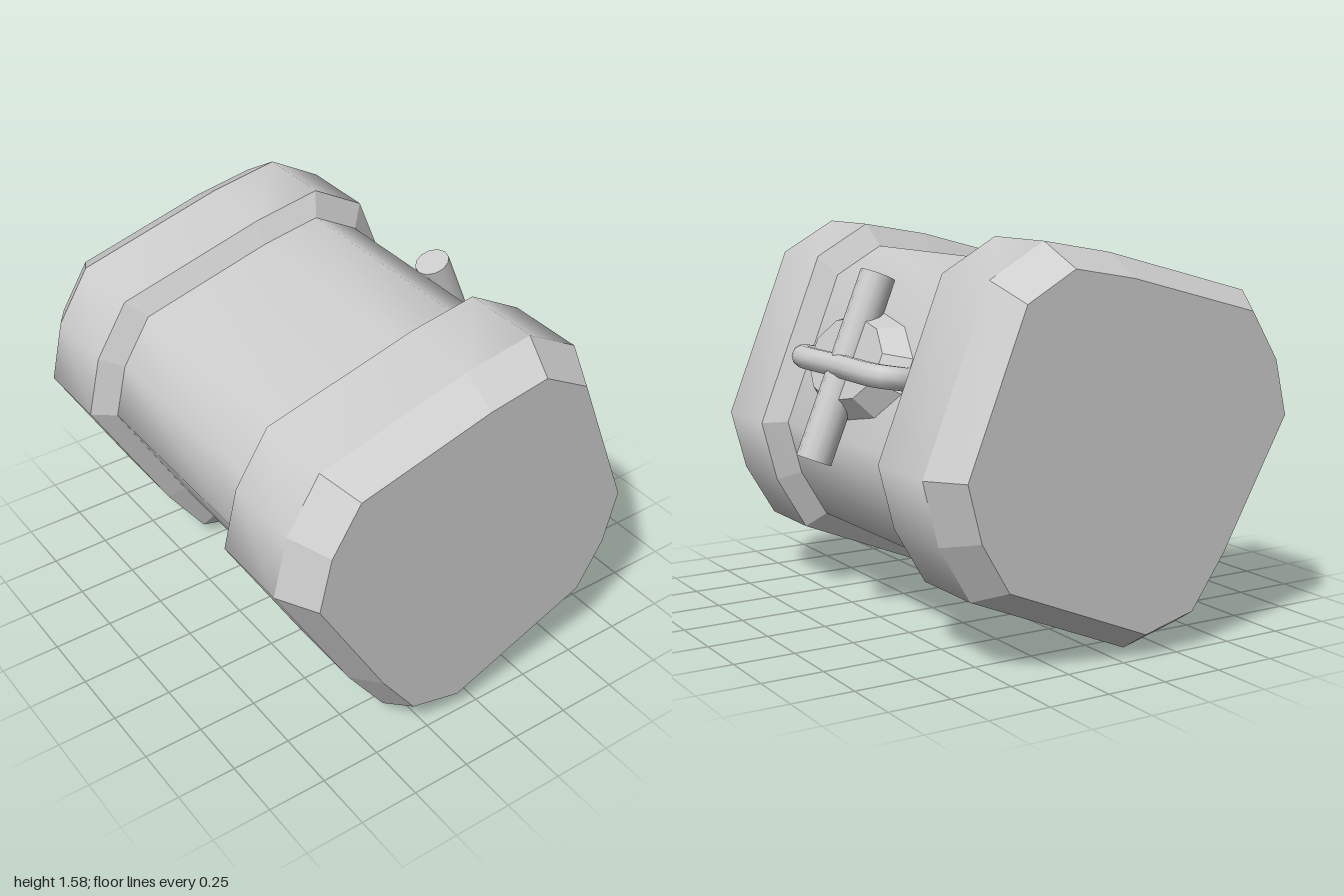
import * as THREE from 'three';

// Cross-section of the barrel as [z, y], counter-clockwise seen from +x
const PROFILE = [
  [0.86, 0.89], [0.53, 0.31], [0.36, 0.07], [0.11, 0.005], [-0.58, 0.29], [-0.71, 0.51],
  [-0.775, 0.76], [-0.5, 1.45], [-0.27, 1.58], [0.02, 1.53], [0.66, 1.36], [0.8, 1.14],
];
const CENTRE = [0.045, 0.795];
const INSET = 0.883;

const material = new THREE.MeshStandardMaterial({ color: 0xcccccc });
const flatMaterial = new THREE.MeshStandardMaterial({ color: 0xcccccc, flatShading: true });

function ring(x, scale) {
  return PROFILE.map(([z, y]) => [
    x, CENTRE[1] + (y - CENTRE[1]) * scale, CENTRE[0] + (z - CENTRE[0]) * scale,
  ]);
}

function addMesh(parent, name, geometry, mat = material) {
  const mesh = new THREE.Mesh(geometry, mat);
  mesh.name = name;
  parent.add(mesh);
  return mesh;
}

// Band of quads between two scaled sections, x0 < x1
function band(x0, s0, x1, s1) {
  const n = PROFILE.length;
  const points = [...ring(x0, s0), ...ring(x1, s1)];
  const index = [];
  for (let i = 0; i < n; i++) {
    const j = (i + 1) % n;
    index.push(i, j, n + j, i, n + j, n + i);
  }
  return finish(points, index);
}

// Flat end disc facing +x or -x
function endDisc(x, scale) {
  const points = [...ring(x, scale), [x, CENTRE[1], CENTRE[0]]];
  const n = PROFILE.length;
  const index = [];
  for (let i = 0; i < n; i++) {
    const j = (i + 1) % n;
    if (x > 0) index.push(n, i, j);
    else index.push(n, j, i);
  }
  return finish(points, index);
}

function finish(points, index) {
  const g = new THREE.BufferGeometry();
  g.setAttribute('position', new THREE.Float32BufferAttribute(points.flat(), 3));
  g.setIndex(index);
  g.computeVertexNormals();
  return g;
}

// Thick collar at one end: inner slope, rim, outer chamfer and end face
function collar(side) {
  const group = new THREE.Group();
  group.name = side > 0 ? 'leftCollar' : 'rightCollar';
  const span = (xa, sa, xb, sb) =>
    side > 0 ? band(xa, sa, xb, sb) : band(-xb, sb, -xa, sa);
  addMesh(group, 'innerSlope', span(0.465, INSET, 0.52, 1), flatMaterial);
  addMesh(group, 'rim', span(0.52, 1, 0.85, 1));
  addMesh(group, 'outerChamfer', span(0.85, 1, 1, INSET), flatMaterial);
  addMesh(group, 'endFace', endDisc(side, INSET), flatMaterial);
  return group;
}

// Cross handle on a faceted boss; local z points out of the back face
function crossHandle() {
  const group = new THREE.Group();
  group.name = 'crossHandle';

  const boss = new THREE.CylinderGeometry(0.7, 1, 0.12, 10);
  boss.rotateX(Math.PI / 2);
  boss.scale(0.42, 0.25, 1);
  boss.translate(0, -0.01, 0.03);
  addMesh(group, 'boss', boss, flatMaterial);

  const upright = new THREE.CylinderGeometry(0.072, 0.072, 0.778, 12);
  upright.translate(0, -0.04, 0.071);
  addMesh(group, 'uprightBar', upright);

  // Crossbar with both ends bent back to the boss
  const path = new THREE.CatmullRomCurve3([
    [-0.38, -0.02, 0.0], [-0.375, -0.035, 0.07], [-0.32, -0.045, 0.105], [0, -0.045, 0.11],
    [0.32, -0.045, 0.105], [0.375, -0.035, 0.07], [0.38, -0.02, 0.0],
  ].map((p) => new THREE.Vector3(...p)));
  addMesh(group, 'crossbar', new THREE.TubeGeometry(path, 28, 0.047, 10));

  const basis = new THREE.Matrix4().makeBasis(
    new THREE.Vector3(-1, 0, 0),
    new THREE.Vector3(0, 0.925, 0.379).normalize(),
    new THREE.Vector3(0, 0.379, -0.925).normalize(),
  );
  group.quaternion.setFromRotationMatrix(basis);
  group.position.set(0, 1.06, -0.557);
  return group;
}

export function createModel() {
  const model = new THREE.Group();
  model.name = 'barrel';
  addMesh(model, 'body', band(-0.465, INSET, 0.465, INSET));
  for (const side of [-1, 1]) model.add(collar(side));
  model.add(crossHandle());
  return model;
}
